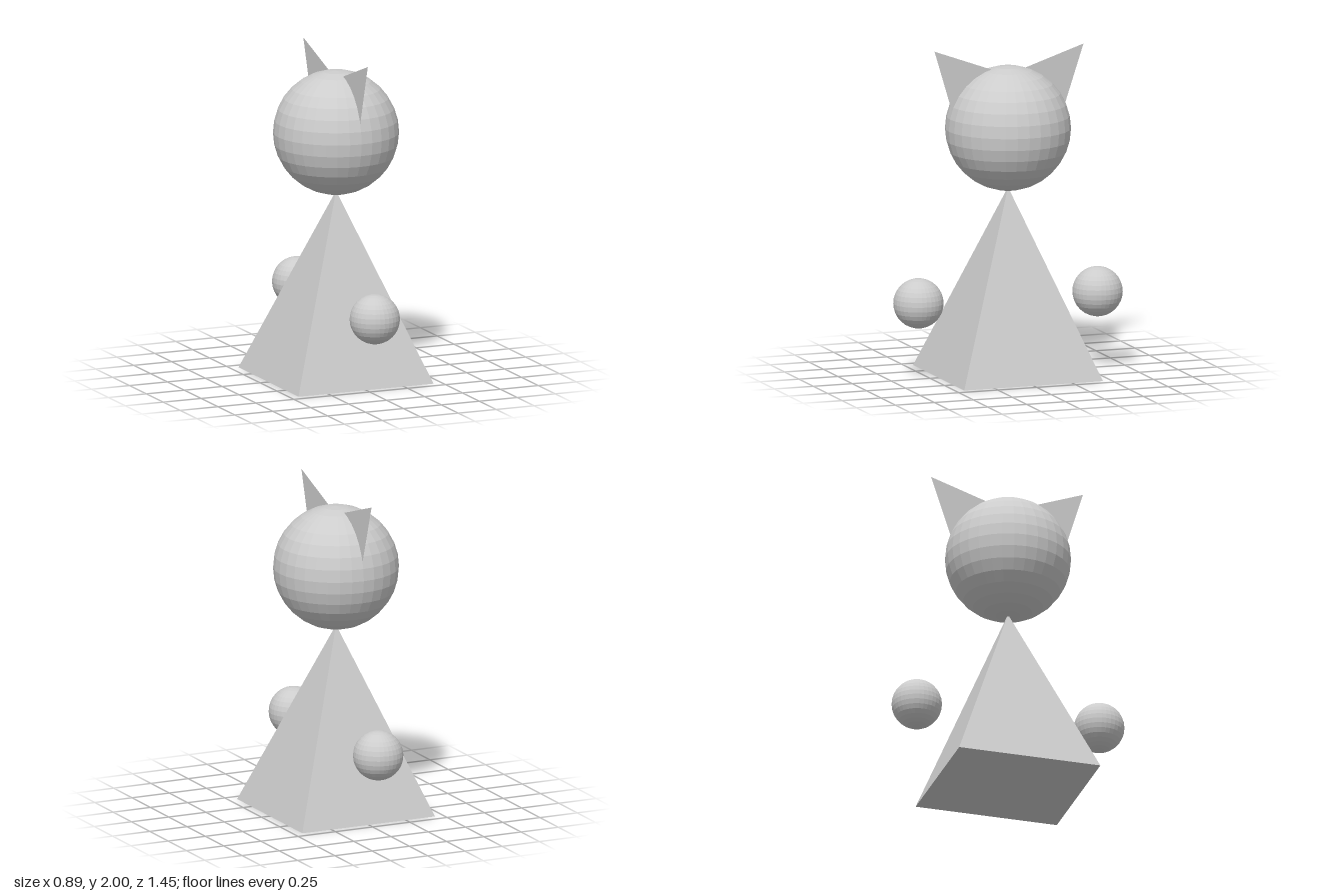
import * as THREE from 'three';

export function createModel() {
  const model = new THREE.Group();
  const grey = new THREE.MeshStandardMaterial({ color: 0xcccccc });
  grey.name = 'lightGrey';
  grey.flatShading = true;
  grey.side = THREE.DoubleSide;

  const add = (name, geometry, x, y, z) => {
    const mesh = new THREE.Mesh(geometry, grey);
    mesh.name = name;
    mesh.position.set(x, y, z);
    model.add(mesh);
    return mesh;
  };

  // Square pyramid body
  const height = 1.14;
  const body = new THREE.ConeGeometry(0.445 * Math.SQRT2, height, 4);
  body.rotateY(Math.PI / 4);
  add('body', body, 0, height / 2, 0);

  // Round head resting on the apex
  add('head', new THREE.SphereGeometry(0.38, 32, 16), 0, 1.503, 0);

  // Flat triangular ears in the x = 0 plane, and floating round hands
  const earShape = (tipZ, tipY) => new THREE.Shape([
    new THREE.Vector2(tipZ, tipY),
    new THREE.Vector2(0.02, 1.835),
    new THREE.Vector2(0.31, 1.46),
  ]);
  for (const [side, s, tipZ, tipY] of [['front', 1, 0.472, 2], ['back', -1, 0.485, 1.988]]) {
    const ear = new THREE.ShapeGeometry(earShape(tipZ, tipY));
    ear.rotateY(-s * Math.PI / 2);
    add(side + 'Ear', ear, 0, 0, 0);
    add(side + 'Hand', new THREE.SphereGeometry(0.152, 32, 16), 0, 0.465, s * 0.575);
  }

  return model;
}
